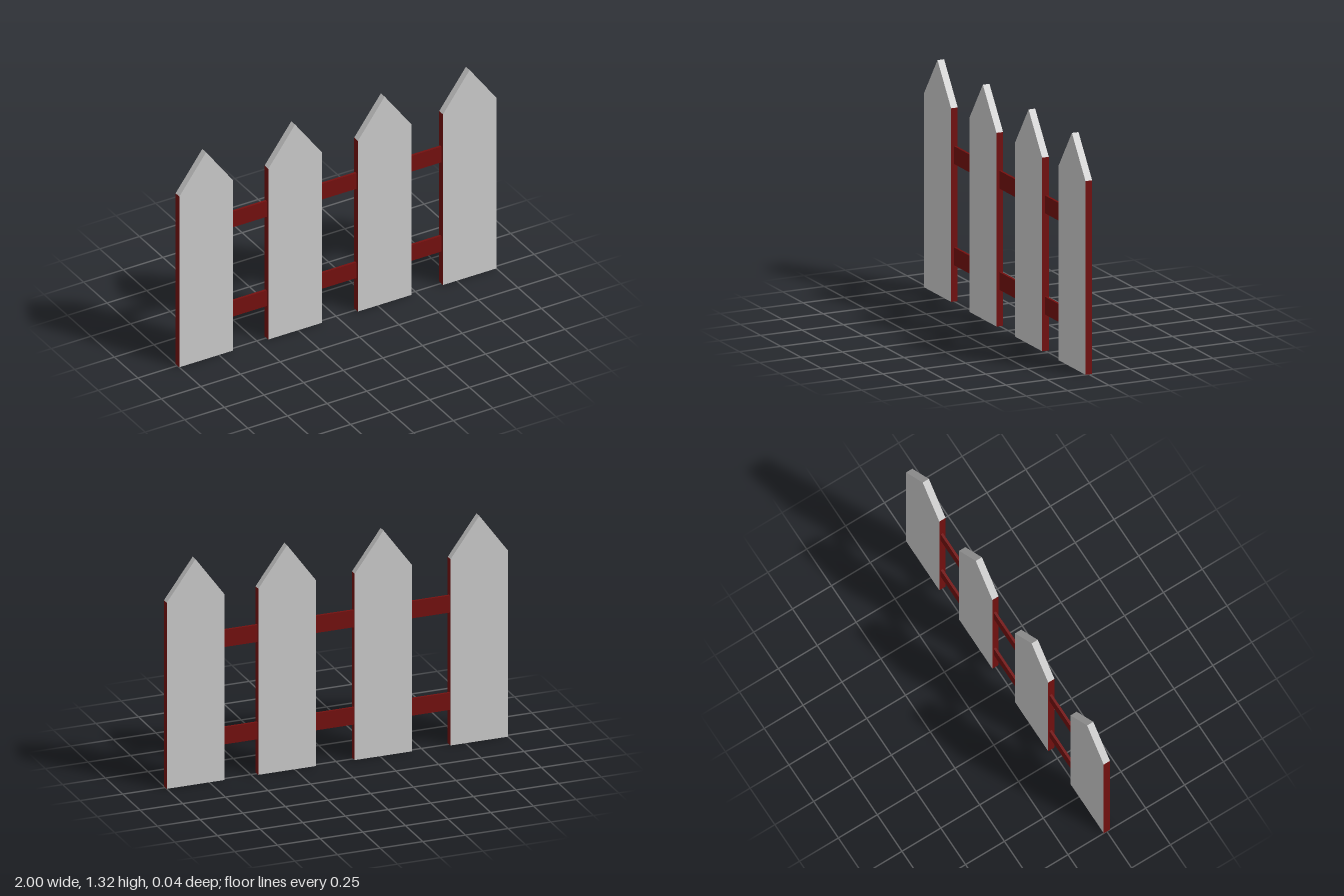
import * as THREE from 'three';

const DEPTH = 0.04, WIDTH = 0.337, SHOULDER = 1.09, TIP = 1.32;

// Pointed board; its two upright edges use the second material
function picketGeometry() {
  const h = WIDTH / 2;
  const shape = new THREE.Shape([
    new THREE.Vector2(-h, 0),
    new THREE.Vector2(h, 0),
    new THREE.Vector2(h, SHOULDER),
    new THREE.Vector2(0, TIP),
    new THREE.Vector2(-h, SHOULDER),
  ]);
  const geo = new THREE.ExtrudeGeometry(shape, { depth: DEPTH, bevelEnabled: false });
  geo.translate(0, 0, -DEPTH / 2);
  geo.clearGroups();
  const normal = geo.attributes.normal;
  for (let i = 0; i < normal.count; i += 3) {
    geo.addGroup(i, 3, Math.abs(normal.getX(i)) > 0.99 ? 1 : 0);
  }
  return geo;
}

export function createModel() {
  const fence = new THREE.Group();
  fence.name = 'picketFence';
  const grey = new THREE.MeshStandardMaterial({ color: 0xcccccc, flatShading: true });
  const red = new THREE.MeshStandardMaterial({ color: 0x74100f, flatShading: true });

  // Four pickets
  const board = picketGeometry();
  [-0.8315, -0.27, 0.295, 0.8315].forEach((x, i) => {
    const picket = new THREE.Mesh(board, [grey, red]);
    picket.name = `picket${i + 1}`;
    picket.position.x = x;
    fence.add(picket);
  });

  // Two thin rails running through the pickets
  const railGeo = new THREE.BoxGeometry(1.66, 0.1, 0.014);
  [['lowerRail', 0.255], ['upperRail', 0.825]].forEach(([name, y]) => {
    const rail = new THREE.Mesh(railGeo, red);
    rail.name = name;
    rail.position.set(0, y, -0.004);
    fence.add(rail);
  });
  return fence;
}
